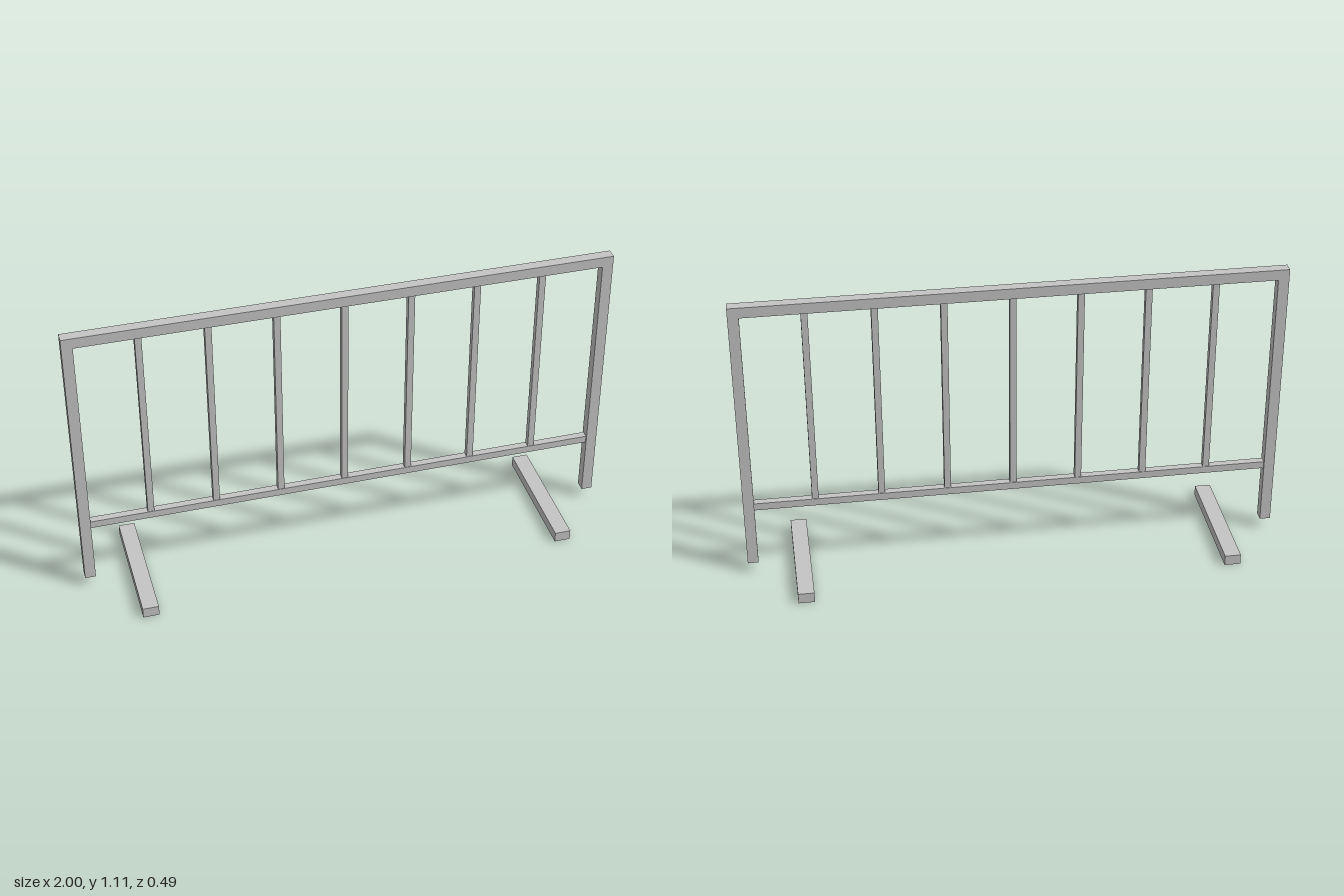
import * as THREE from 'three';

export function createModel() {
  const group = new THREE.Group();
  const steel = new THREE.MeshStandardMaterial({ color: 0xc4c4c4 });
  steel.name = 'lightGreySteel';

  // Box spanning y0..y1, centred on x and z = 0
  const addBox = (name, x, y0, y1, width, depth) => {
    const mesh = new THREE.Mesh(new THREE.BoxGeometry(width, y1 - y0, depth), steel);
    mesh.name = name;
    mesh.position.set(x, (y0 + y1) / 2, 0);
    group.add(mesh);
  };

  const footTop = 0.04, railBottom = 1.066, railTop = 1.106;
  const lowerBottom = 0.268, lowerTop = 0.296, tube = 0.04;

  // Frame rails
  addBox('topRail', 0, railBottom, railTop, 2, tube);
  addBox('bottomRail', 0, lowerBottom, lowerTop, 2 - 2 * tube, 0.028);

  // End posts and floor feet
  for (const [side, s] of [['left', 1], ['right', -1]]) {
    addBox(side + 'Post', s * (1 - tube / 2), footTop, railBottom, tube, tube);
    addBox(side + 'Foot', s * 0.797, 0, footTop, 0.06, 0.49);
  }

  // Seven evenly spaced upright bars
  for (let i = -3; i <= 3; i++) {
    addBox('bar' + (i + 4), i * 0.245, lowerTop, railBottom, 0.024, 0.024);
  }
  return group;
}
